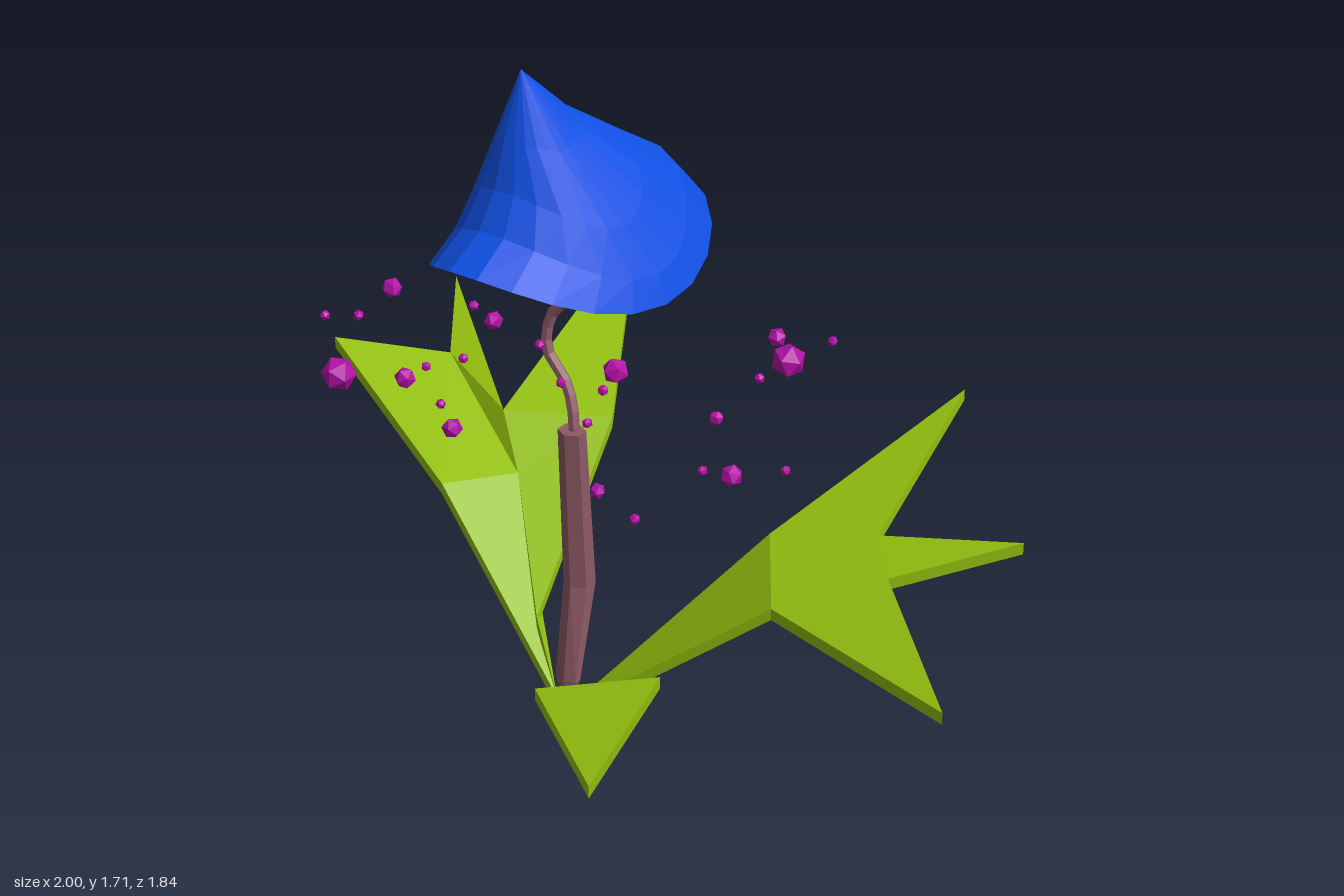
import * as THREE from 'three';

const mat = (color) => {
  const m = new THREE.MeshStandardMaterial({ flatShading: true });
  m.color.set(color);
  return m;
};
const LEAF = mat(0x93c00f), CAP = mat(0x1050e4), STEM = mat(0x8f5b66), SPORE = mat(0xb511a8);

function add(parent, name, geometry, material) {
  const mesh = new THREE.Mesh(geometry, material);
  mesh.name = name;
  parent.add(mesh);
  return mesh;
}

function geometryFrom(triangles) {
  const g = new THREE.BufferGeometry();
  g.setAttribute('position', new THREE.Float32BufferAttribute(triangles.flat(2), 3));
  g.computeVertexNormals();
  return g;
}

// Thick folded leaf: top faces, the same faces lowered, and walls on the outline
function leafGeometry(points, faces, thickness = 0.03) {
  const low = points.map(([x, y, z]) => [x, Math.max(0, y - thickness), z]);
  const up = faces.map(([a, b, c]) => {
    const [A, B, C] = [points[a], points[b], points[c]];
    const ny = (B[2] - A[2]) * (C[0] - A[0]) - (B[0] - A[0]) * (C[2] - A[2]);
    return ny > 0 ? [a, b, c] : [a, c, b];
  });
  const edges = up.flatMap(([a, b, c]) => [[a, b], [b, c], [c, a]]);
  const rim = edges.filter(([a, b]) => !edges.some(([c, d]) => c === b && d === a));
  const tris = [];
  for (const [a, b, c] of up) {
    tris.push([points[a], points[b], points[c]], [low[a], low[c], low[b]]);
  }
  for (const [a, b] of rim) {
    tris.push([points[a], low[a], low[b]], [points[a], low[b], points[b]]);
  }
  return geometryFrom(tris);
}

// Closed skin over a stack of rings with the same number of corners
function loft(rings) {
  const tris = [];
  const n = rings[0].length;
  for (let r = 0; r < rings.length - 1; r++) {
    for (let i = 0; i < n; i++) {
      const j = (i + 1) % n;
      const [a, b, c, d] = [rings[r][i], rings[r][j], rings[r + 1][j], rings[r + 1][i]];
      tris.push([a, d, c], [a, c, b]);
    }
  }
  return tris;
}

function capGeometry() {
  const n = 22;
  // side y, left x, right x, front z, front y, back z, back y
  const levels = [
    [1.71, -0.091, -0.089, 0.221, 1.71, 0.219, 1.71],
    [1.54, -0.16, 0.01, 0.27, 1.57, 0.11, 1.6],
    [1.37, -0.235, 0.125, 0.305, 1.46, -0.02, 1.51],
    [1.26, -0.275, 0.19, 0.355, 1.38, -0.14, 1.43],
    [1.195, -0.29, 0.215, 0.45, 1.32, -0.225, 1.33],
  ];
  const rings = levels.map(([y, xl, xr, zf, yf, zb, yb], k) =>
    Array.from({ length: n }, (_, i) => {
      const a = (i / n) * Math.PI * 2, s = Math.sin(a), c = Math.cos(a);
      const end = s > 0 ? yf : yb;
      return [
        (xl + xr) / 2 + (c * (xr - xl)) / 2 - 0.045 * (k / 4) * s,
        y + (end - y) * s * s,
        (zf + zb) / 2 + (s * (zf - zb)) / 2,
      ];
    }));
  const tris = loft(rings).map(([a, b, c]) => [a, c, b]);
  // Underside: strips across the saddle-shaped rim
  const rim = rings[4];
  const at = (i) => rim[(i + n) % n];
  for (let i = -5; i < 5; i++) {
    const [a, b, c, d] = [at(i), at(i + 1), at(n / 2 - i - 1), at(n / 2 - i)];
    tris.push([a, b, c], [a, c, d]);
  }
  return geometryFrom(tris);
}

// Faceted lower stem, pointed at the foot
function stalkGeometry() {
  const n = 6;
  const levels = [ // x, y, z, x radius, z radius
    [-0.07, 0.03, 0.107, 0.002, 0.002],
    [-0.07, 0.1, 0.097, 0.034, 0.018],
    [-0.068, 0.35, 0.05, 0.038, 0.038],
    [-0.058, 0.78, 0.09, 0.034, 0.03],
    [-0.058, 0.78, 0.09, 0.001, 0.001],
  ];
  return geometryFrom(loft(levels.map(([x, y, z, rx, rz]) =>
    Array.from({ length: n }, (_, i) => {
      const a = ((i + 0.5) / n) * Math.PI * 2;
      return [x + rx * Math.cos(a), y, z + rz * Math.sin(a)];
    }))));
}

export function createModel() {
  const model = new THREE.Group();
  model.name = 'mushroomPlant';

  const cap = add(model, 'cap', capGeometry(), CAP);
  cap.material.side = THREE.DoubleSide;
  add(model, 'lowerStem', stalkGeometry(), STEM);

  // Thin winding neck
  const path = new THREE.CatmullRomCurve3([
    [-0.055, 0.75, 0.088], [-0.06, 0.81, 0.08], [-0.09, 0.88, 0.065], [-0.152, 0.95, 0.055],
    [-0.14, 1.04, 0.046], [-0.06, 1.12, 0.045], [-0.04, 1.19, 0.06], [-0.045, 1.25, 0.07],
  ].map((p) => new THREE.Vector3(...p)));
  add(model, 'upperStem', new THREE.TubeGeometry(path, 16, 0.014, 6), STEM);

  // Leaves: foot first, then around the outline
  const leaves = new THREE.Group();
  leaves.name = 'leaves';
  model.add(leaves);
  add(leaves, 'leftLeaf', leafGeometry([
    [-0.085, 0.05, 0.12], [-0.195, 0.2, 0.05], [-0.28, 0.52, -0.385], [-0.58, 0.73, -0.92],
    [-0.52, 0.52, -0.26], [-0.9, 0.645, -0.57], [-0.76, 0.56, -0.36], [-1, 0.6, -0.2],
    [-0.52, 0.43, -0.01], [-0.41, 0.42, -0.17],
  ], [[0, 1, 9], [0, 9, 8], [1, 2, 9], [2, 3, 4], [2, 4, 9], [4, 5, 6], [9, 4, 6], [9, 6, 8], [6, 7, 8]]), LEAF);
  add(leaves, 'rightLeaf', leafGeometry([
    [-0.055, 0.03, 0.125], [0.27, 0.45, -0.245], [0.46, 0.64, -0.81], [0.53, 0.51, -0.3],
    [0.87, 0.575, -0.37], [0.63, 0.49, -0.18], [1, 0.49, 0.21], [0.42, 0.415, -0.02],
  ], [[0, 1, 7], [1, 2, 3], [1, 3, 5], [3, 4, 5], [1, 5, 7], [5, 6, 7]]), LEAF);
  add(leaves, 'frontLeaf', leafGeometry([
    [-0.055, 0.03, 0.13], [0.36, 0.405, 0.34], [0.58, 0.545, 0.92], [0.155, 0.4, 0.53],
  ], [[0, 1, 3], [1, 2, 3]]), LEAF);

  // Floating spores: x, y, z, radius
  const large = [
    [-0.565, 0.86, 0.3, 0.042], [0.24, 0.855, -0.355, 0.042], [0.415, 0.85, 0.15, 0.026],
    [0.155, 1.06, 0.22, 0.031], [-0.13, 1.115, -0.05, 0.029], [-0.505, 1.045, 0.17, 0.025],
    [-0.28, 0.99, 0.41, 0.025], [-0.345, 0.935, 0, 0.023], [-0.35, 0.99, -0.19, 0.024],
    [-0.27, 0.795, 0.26, 0.025], [-0.025, 1.01, -0.23, 0.024], [0.31, 1.01, -0.19, 0.023],
    [0.305, 0.945, 0.5, 0.018], [0.19, 0.79, -0.13, 0.018],
  ];
  const small = [
    [-0.65, 0.96, 0.24], [-0.4, 1.1, 0.06], [-0.27, 1.07, 0.17], [-0.525, 0.77, 0.03],
    [-0.465, 1.06, 0.34], [-0.365, 0.79, 0.18], [-0.28, 0.945, 0.2], [0.27, 1.145, 0.43],
    [0.405, 1.035, 0.03], [0.36, 0.945, -0.35], [0.24, 0.73, 0], [0.38, 0.715, -0.13],
    [0.1, 0.925, 0.25], [-0.08, 0.9, 0.1], [0.01, 1.115, 0.3], [-0.145, 1.06, -0.235],
    [-0.025, 1.23, -0.335], [0.29, 0.79, 0.34],
  ].map((p) => [...p, 0.0125]);
  const spores = new THREE.Group();
  spores.name = 'spores';
  model.add(spores);
  [...large, ...small].forEach(([x, y, z, r], i) => {
    const spore = add(spores, 'spore', new THREE.IcosahedronGeometry(r, 0), SPORE);
    spore.position.set(x, y, z);
    spore.rotation.set(i * 1.3, i * 0.7, i * 0.4);
  });
  return model;
}
